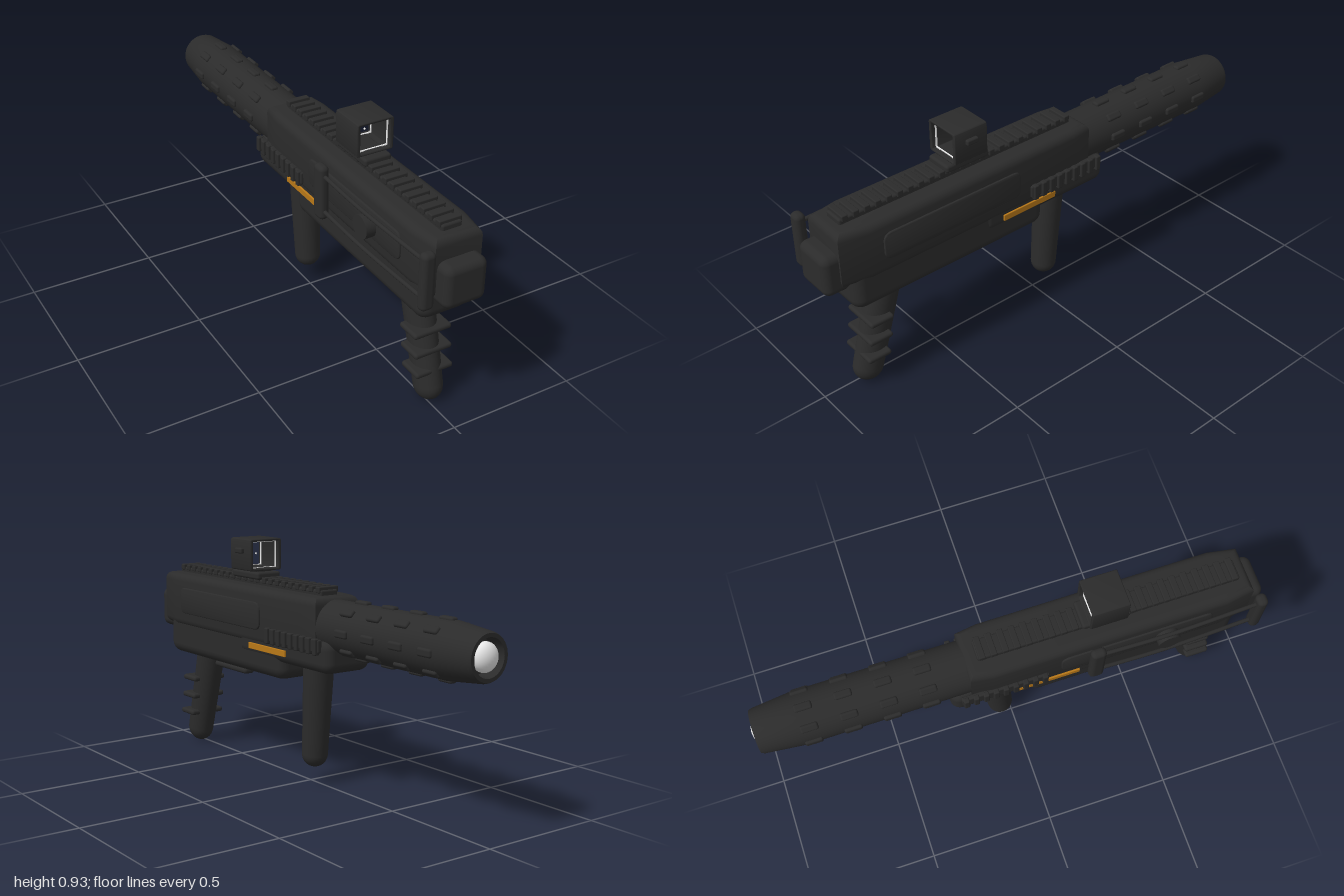
import * as THREE from 'three';
import { toCreasedNormals } from 'three/addons/utils/BufferGeometryUtils.js';
import { RoundedBoxGeometry } from 'three/addons/geometries/RoundedBoxGeometry.js';

const mat = (name, color) => {
  const m = new THREE.MeshStandardMaterial({ color });
  m.name = name;
  return m;
};

// Rounded rectangle centred on the origin
function roundRect(w, h, r, Kind = THREE.Shape) {
  const s = new Kind(), x = w / 2, y = h / 2;
  s.moveTo(-x + r, -y);
  s.lineTo(x - r, -y); s.quadraticCurveTo(x, -y, x, -y + r);
  s.lineTo(x, y - r); s.quadraticCurveTo(x, y, x - r, y);
  s.lineTo(-x + r, y); s.quadraticCurveTo(-x, y, -x, y - r);
  s.lineTo(-x, -y + r); s.quadraticCurveTo(-x, -y, -x + r, -y);
  return s;
}

// Extrusion centred in depth, with rounded edges kept inside the outline
function slab(shape, depth, bevel = 0) {
  const g = new THREE.ExtrudeGeometry(shape, {
    depth: depth - 2 * bevel, bevelEnabled: bevel > 0, bevelSize: bevel,
    bevelThickness: bevel, bevelOffset: -bevel, bevelSegments: 4, curveSegments: 8,
  });
  g.translate(0, 0, -depth / 2 + bevel);
  return toCreasedNormals(g, 0.6);
}

export function createModel() {
  const black = mat('black', 0x2b2b2b);
  const amber = mat('amber', 0xb87818);
  const pale = mat('pale', 0xe8e8e8);
  const root = new THREE.Group();
  root.name = 'model';
  root.position.x = 0.014;

  const add = (name, geo, x, y, z, material = black, parent = root) => {
    const m = new THREE.Mesh(geo, material);
    m.name = name;
    m.position.set(x, y, z);
    parent.add(m);
    return m;
  };
  const box = (name, w, h, d, r, x, y, z, material, parent) =>
    add(name, new RoundedBoxGeometry(w, h, d, 3, r), x, y, z, material, parent);

  // Upper body: plan outline with tapered ends, rounded over top and bottom
  const plan = new THREE.Shape();
  [[0.092, -0.935], [0.112, -0.82], [0.112, 0.1], [0.1, 0.185],
    [-0.1, 0.185], [-0.112, 0.1], [-0.112, -0.82], [-0.092, -0.935]]
    .reverse().forEach(([x, y], i) => (i ? plan.lineTo(x, y) : plan.moveTo(x, y)));
  plan.closePath();
  const upper = slab(plan, 0.225, 0.03);
  upper.rotateX(-Math.PI / 2);
  add('upperBody', upper, 0, 0.642, 0);

  box('lowerBody', 0.208, 0.2, 0.855, 0.045, 0, 0.505, 0.467);
  box('foreBody', 0.216, 0.13, 0.6, 0.04, 0, 0.54, 0.035);
  box('buttPad', 0.168, 0.165, 0.11, 0.03, 0, 0.592, 0.94);

  // Side panels, accent strips and side rails
  for (const s of [1, -1]) {
    const panel = slab(roundRect(0.605, 0.11, 0.035), 0.016, 0.005);
    panel.rotateY(Math.PI / 2);
    add('sidePanel', panel, s * 0.111, 0.645, 0.468);
    box('accentStrip', 0.008, 0.025, 0.25, 0.002, s * 0.111, 0.522, 0.12, amber);
    box('sideRail', 0.02, 0.05, 0.345, 0.006, s * 0.112, 0.582, -0.055);
    for (let i = 0; i < 9; i++)
      box('sideRailTooth', 0.022, 0.062, 0.022, 0.005, s * 0.121, 0.58, 0.1 - i * 0.039);
  }

  // Top rail
  box('topRail', 0.08, 0.03, 1.03, 0.008, 0, 0.76, 0.377);
  for (let i = 0; i < 23; i++)
    box('topRailTooth', 0.09, 0.024, 0.025, 0.004, 0, 0.775, 0.87 - i * 0.045);

  // Barrel shroud with recessed mouth
  const outline = [[0, 0.1], [0.1, 0.1], [0.103, 0.82], [0.087, 0.975], [0.082, 0.987],
    [0.068, 0.987], [0.064, 0.93], [0, 0.93]].map(([r, y]) => new THREE.Vector2(r, y));
  const shroud = toCreasedNormals(new THREE.LatheGeometry(outline, 40), 0.5);
  shroud.rotateX(-Math.PI / 2);
  add('barrelShroud', shroud, 0, 0.643, 0);
  for (let ring = 0; ring < 4; ring++) {
    for (let k = 0; k < 8; k++) {
      const a = (k * Math.PI) / 4;
      const b = box('shroudLug', 0.02, 0.03, 0.068, 0.008,
        0.102 * Math.cos(a), 0.643 + 0.102 * Math.sin(a), -0.34 - ring * 0.15);
      b.rotation.z = a;
    }
  }
  const bulb = add('muzzleBulb', new THREE.SphereGeometry(0.052, 28, 18), 0, 0.643, -0.965, pale);
  bulb.scale.z = 0.67;

  // Sight: mount, open hood, pale inner rims, centre dot and knob
  box('sightMount', 0.11, 0.03, 0.19, 0.01, 0, 0.79, 0.357);
  box('sightNeck', 0.08, 0.03, 0.13, 0.008, 0, 0.805, 0.357);
  const hood = roundRect(0.15, 0.128, 0.012);
  hood.holes.push(roundRect(0.122, 0.108, 0.003, THREE.Path));
  add('sightHood', slab(hood, 0.145, 0.004), 0, 0.872, 0.357);
  const rim = roundRect(0.123, 0.109, 0.003);
  rim.holes.push(roundRect(0.115, 0.101, 0.002, THREE.Path));
  for (const z of [0.305, 0.41]) add('sightRim', slab(rim, 0.006), 0, 0.872, z, pale);
  add('sightDot', new THREE.SphereGeometry(0.004, 10, 8), 0, 0.872, 0.357, pale);
  box('sightKnob', 0.024, 0.022, 0.05, 0.006, 0.077, 0.888, 0.357);

  // Handles: tapered round posts with domed lower ends
  const handle = (name, rTop, rEnd, top, end, widthX) => {
    const g = new THREE.Group();
    g.name = name;
    const [y0, z0] = top, [y1, z1] = end;
    const len = Math.hypot(y1 - y0, z1 - z0);
    const pts = [];
    for (let i = 0; i <= 8; i++) {
      const a = (i / 8) * Math.PI / 2;
      pts.push(new THREE.Vector2(rEnd * Math.sin(a), -rEnd * Math.cos(a)));
    }
    pts.push(new THREE.Vector2(rTop, len));
    const post = add(name + 'Post', new THREE.LatheGeometry(pts, 28), 0, 0, 0, black, g);
    post.scale.x = widthX;
    g.position.set(0, y1, z1);
    g.rotation.x = Math.atan2(z0 - z1, y0 - y1);
    root.add(g);
  };
  handle('rearGrip', 0.067, 0.061, [0.45, 0.705], [0.062, 0.813], 0.84);
  handle('foreGrip', 0.061, 0.051, [0.52, -0.073], [0.121, -0.046], 1);
  [[0.295, 0.78], [0.217, 0.79], [0.14, 0.803]].forEach(([y, z]) =>
    box('gripFin', 0.155, 0.022, 0.1, 0.01, 0, y, z));

  // Lower guard bar with its rear link
  box('guardBar', 0.05, 0.025, 0.24, 0.012, 0, 0.377, 0.53);
  box('guardLink', 0.04, 0.05, 0.03, 0.01, 0, 0.395, 0.64);

  // Folded side stock
  box('stockPlate', 0.052, 0.22, 0.042, 0.018, -0.134, 0.63, 0.95);
  box('stockHinge', 0.04, 0.22, 0.06, 0.018, -0.14, 0.63, 0.298);
  for (const y of [0.7, 0.555]) {
    const path = new THREE.CatmullRomCurve3([
      [-0.14, 0.3], [-0.146, 0.58], [-0.135, 0.95],
    ].map(([x, z]) => new THREE.Vector3(x, y, z)));
    add('stockRod', new THREE.TubeGeometry(path, 16, 0.008, 10), 0, 0, 0);
  }
  const disc = new THREE.CylinderGeometry(0.045, 0.045, 0.045, 28);
  disc.rotateZ(Math.PI / 2);
  add('sideDisc', disc, -0.135, 0.64, 0.585);

  return root;
}
